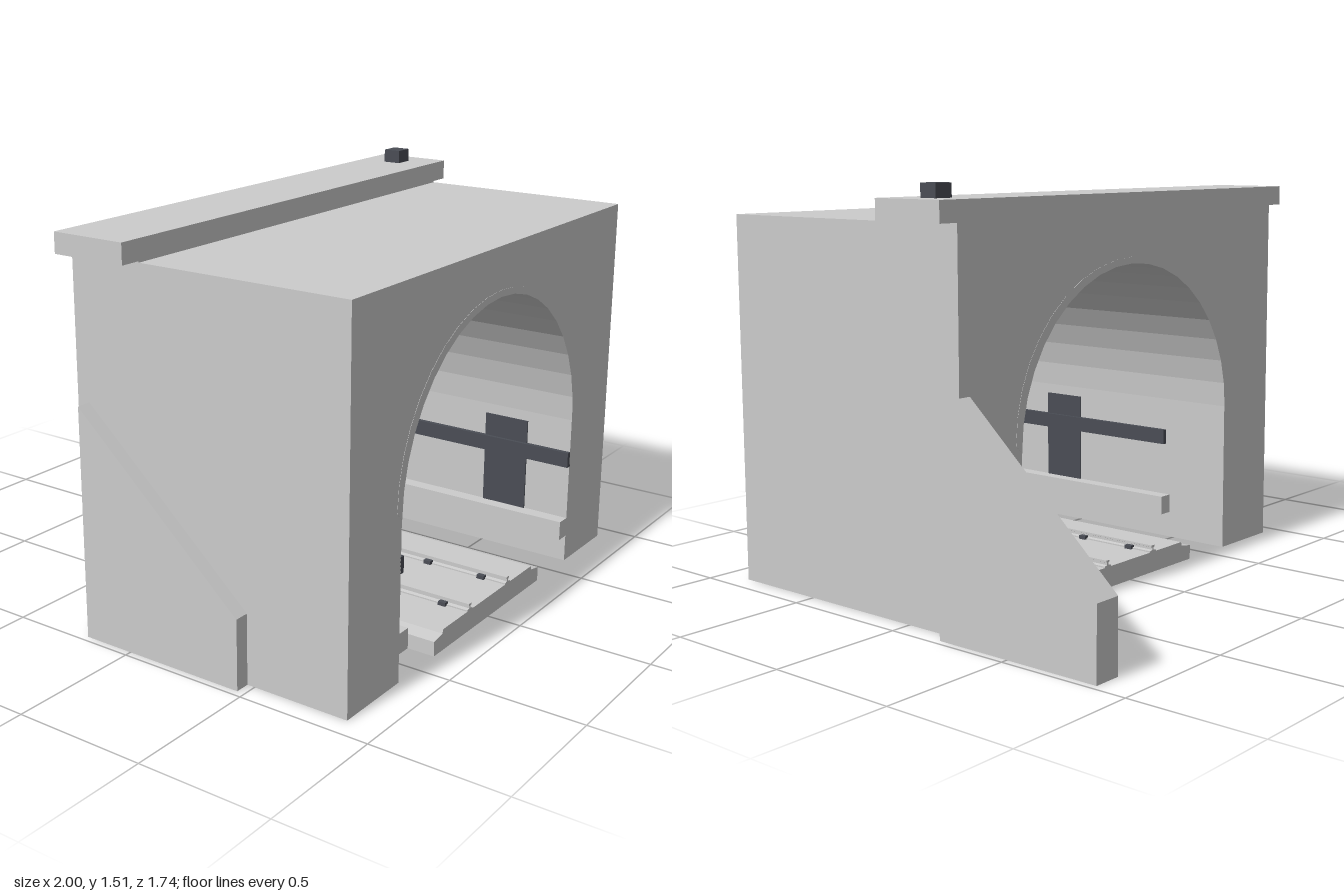
import * as THREE from 'three';

const BACK = -0.25, FRONT = 0.87, LENGTH = FRONT - BACK;

const material = (color) =>
  new THREE.MeshStandardMaterial({ color, flatShading: true });

export function createModel() {
  const model = new THREE.Group();
  model.name = 'tunnelPortal';
  const grey = material(0xcccccc);
  const dark = material(0x4a4d55);

  const add = (name, geometry, mat = grey) => {
    const mesh = new THREE.Mesh(geometry, mat);
    mesh.name = name;
    model.add(mesh);
    return mesh;
  };
  // box given by its min and max corners
  const box = (name, x0, x1, y0, y1, z0, z1, mat = grey) =>
    add(name, new THREE.BoxGeometry(x1 - x0, y1 - y0, z1 - z0), mat)
      .position.set((x0 + x1) / 2, (y0 + y1) / 2, (z0 + z1) / 2);
  // profile in x, y pushed along z
  const extrude = (points, z0, depth) => {
    const shape = new THREE.Shape(points.map(([x, y]) => new THREE.Vector2(x, y)));
    const geometry = new THREE.ExtrudeGeometry(shape, { depth, bevelEnabled: false });
    return geometry.translate(0, 0, z0);
  };
  // half circle from right to left
  const arc = (rx, ry, cy, segments = 20) =>
    Array.from({ length: segments + 1 }, (_, i) => {
      const a = (Math.PI * i) / segments;
      return [rx * Math.cos(a), cy + ry * Math.sin(a)];
    });

  // Main block with the arched passage
  const opening = arc(0.615, 0.615, 0.585);
  add('tunnelBody', extrude([
    [-0.92, 0], [-0.615, 0], ...[...opening].reverse(), [0.615, 0],
    [0.92, 0], [0.92, 1.38], [-0.92, 1.38],
  ], BACK, LENGTH));

  // Thin arch trim, almost flush with both faces
  const trim = [...arc(0.645, 0.61, 0.615), ...[...opening].reverse()];
  add('backArchTrim', extrude(trim, BACK - 0.001, 0.01));
  add('frontArchTrim', extrude(trim, FRONT - 0.009, 0.01));

  // Parapet cap and the small lamp box on it
  box('parapetCap', -1, 1, 1.385, 1.46, BACK, 0.045);
  box('parapetBase', -0.92, 0.92, 1.375, 1.39, BACK, 0.045);
  box('lampBox', 0.83, 0.905, 1.46, 1.51, -0.14, -0.07, dark);

  // Sloped wing walls: side profile (-z, y) pushed along x
  const wing = (name, nearEnd, farEnd, x0) => {
    let points = [[nearEnd, 0], [farEnd, 0], [farEnd, 0.26], [nearEnd, 0.86]];
    const geometry = extrude(points, x0, 0.105);
    add(name, geometry.rotateY(Math.PI / 2));
  };
  wing('leftWingWall', 0.2, 0.87, 0.87);
  wing('rightWingWall', 0.2, -0.47, -0.975);

  // Track bed with lowered shoulders
  const half = [[0.385, 0], [0.385, 0.055], [0.33, 0.065], [0.325, 0.08]];
  add('trackBed', extrude(
    [...half, ...half.map(([x, y]) => [-x, y]).reverse()], BACK, LENGTH));

  for (const side of [-1, 1]) {
    const label = side > 0 ? 'left' : 'right';
    const span = (name, a, b, ...rest) =>
      box(label + name, Math.min(side * a, side * b), Math.max(side * a, side * b), ...rest);

    // Walkway ledge, cable duct and wall panel
    span('Ledge', 0.56, 0.62, 0.105, 0.18, 0.02, FRONT);
    span('CableDuct', 0.597, 0.62, 0.395, 0.455, 0.04, FRONT, dark);
    span('WallPanel', 0.61, 0.62, 0.18, 0.545, 0.5, 0.685, dark);

    // Rail: foot, web and head
    const x = side * 0.14;
    add(label + 'Rail', extrude([
      [-0.018, 0.08], [0.018, 0.08], [0.018, 0.085], [0.004, 0.088],
      [0.004, 0.097], [0.009, 0.099], [0.009, 0.106],
      [-0.009, 0.106], [-0.009, 0.099], [-0.004, 0.097], [-0.004, 0.088], [-0.018, 0.085],
    ].map(([px, py]) => [px + x, py]), BACK, LENGTH));

    // Rail clips in pairs
    for (let i = -2; i <= 2; i++) {
      const z = 0.31 + i * 0.23;
      for (const offset of [-0.02, 0.02]) {
        box('railClip', x + offset - 0.01, x + offset + 0.01, 0.08, 0.094,
          z - 0.015, z + 0.015, dark);
      }
    }
  }
  return model;
}
